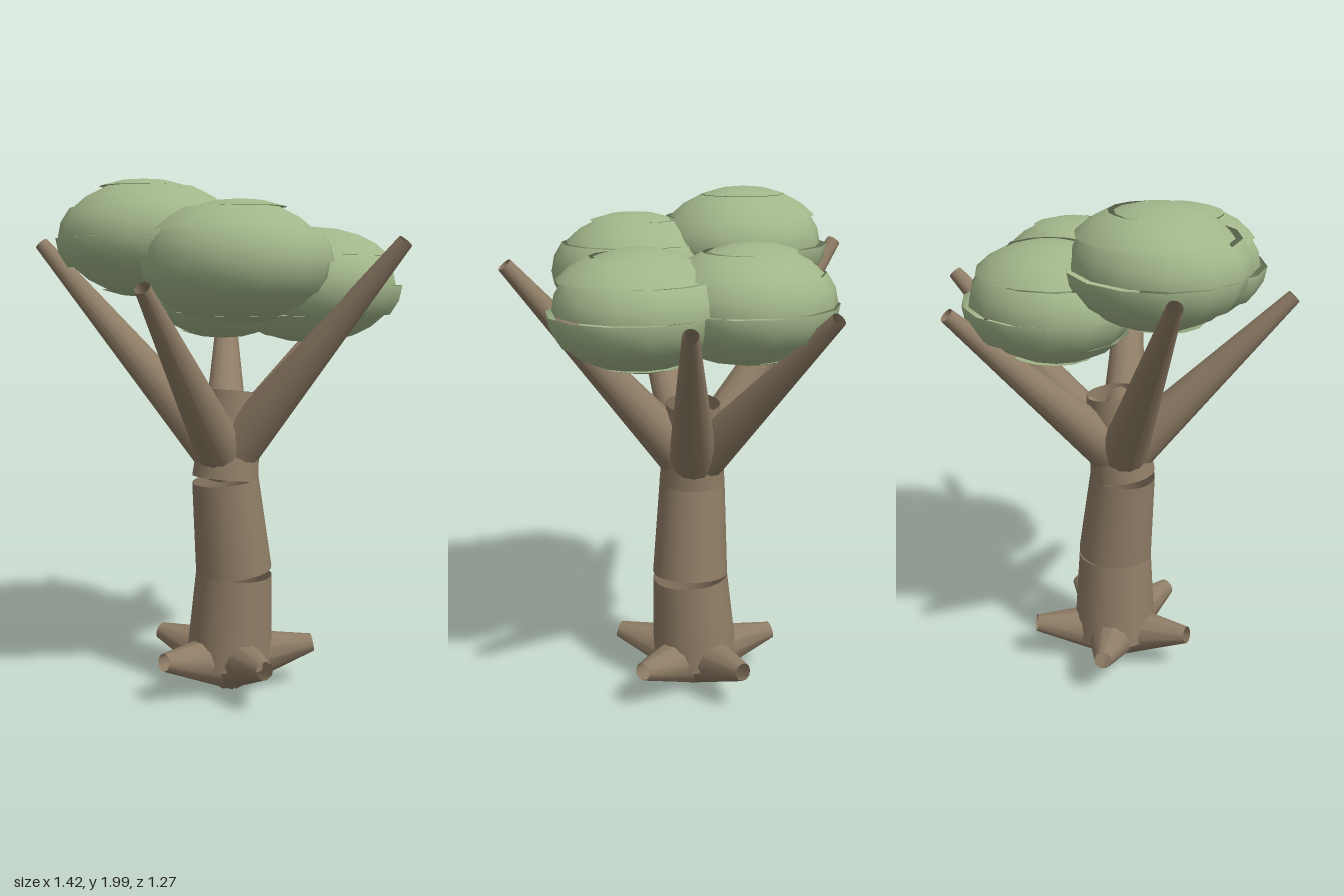
import * as THREE from 'three';

const bark = new THREE.MeshStandardMaterial({ color: 0x8f7d66, side: THREE.DoubleSide });
const leaf = new THREE.MeshStandardMaterial({ color: 0xa2b68a, side: THREE.DoubleSide });
const V = (x, y, z) => new THREE.Vector3(x, y, z);

// Open tapered tube running from a to b
function limb(name, a, b, rA, rB, sides) {
  const dir = b.clone().sub(a);
  const mesh = new THREE.Mesh(new THREE.CylinderGeometry(rB, rA, dir.length(), sides, 1, true), bark);
  mesh.quaternion.setFromUnitVectors(V(0, 1, 0), dir.normalize());
  mesh.position.copy(a).add(b).multiplyScalar(0.5);
  mesh.name = name;
  return mesh;
}

// Foliage clump: six separate latitude bands, each slightly shifted so thin gaps show
function clump(x, y, z, seed) {
  const group = new THREE.Group();
  group.name = 'foliageClump';
  const bands = 6;
  for (let i = 0; i < bands; i++) {
    const geo = new THREE.SphereGeometry(1, 14, 1, 0, Math.PI * 2, i * Math.PI / bands, Math.PI / bands);
    const band = new THREE.Mesh(geo, leaf);
    const a = seed + i * 2.4;
    band.scale.set(0.34, 0.22, 0.315);
    band.position.set(Math.cos(a) * 0.014, 0, Math.sin(a) * 0.014);
    band.name = 'foliageBand';
    group.add(band);
  }
  group.position.set(x, y, z);
  return group;
}

export function createModel() {
  const tree = new THREE.Group();
  tree.name = 'tree';

  // Trunk: three tapered sections leaning in turn
  const trunk = new THREE.Group();
  trunk.name = 'trunk';
  trunk.add(
    limb('trunkLower', V(0.038, 0.12, 0.035), V(0.055, 0.48, 0.045), 0.172, 0.15, 20),
    limb('trunkMiddle', V(0.055, 0.492, 0.045), V(0.02, 0.857, 0.06), 0.15, 0.13, 20),
    limb('trunkUpper', V(0.02, 0.862, 0.06), V(0.052, 1.2, 0.03), 0.13, 0.105, 20)
  );
  tree.add(trunk);

  // Roots: five stubby cones around the base
  for (let i = 0; i < 5; i++) {
    const a = i * Math.PI * 2 / 5;
    const end = V(0.04 + 0.333 * Math.cos(a), 0.18, 0.035 + 0.333 * Math.sin(a));
    tree.add(limb('root', V(0.04, 0.12, 0.035), end, 0.122, 0.035, 10));
  }

  // Branches: five long tapers fanning out from the top of the trunk
  const tips = [
    V(0.08, 1.6, -0.62), V(0.61, 1.6, -0.39), V(0.62, 1.76, 0.43),
    V(-0.30, 1.6, 0.61), V(-0.685, 1.765, -0.14)
  ];
  for (const tip of tips) {
    tree.add(limb('branch', V(0.02, 0.925, 0.055), tip, 0.1, 0.028, 14));
  }

  // Crown: four overlapping clumps
  tree.add(
    clump(-0.27, 1.78, 0.035, 3.0),
    clump(0.04, 1.69, 0.31, 1.0),
    clump(0.355, 1.605, 0.035, 5.2),
    clump(0.045, 1.61, -0.225, 4.1)
  );
  return tree;
}
